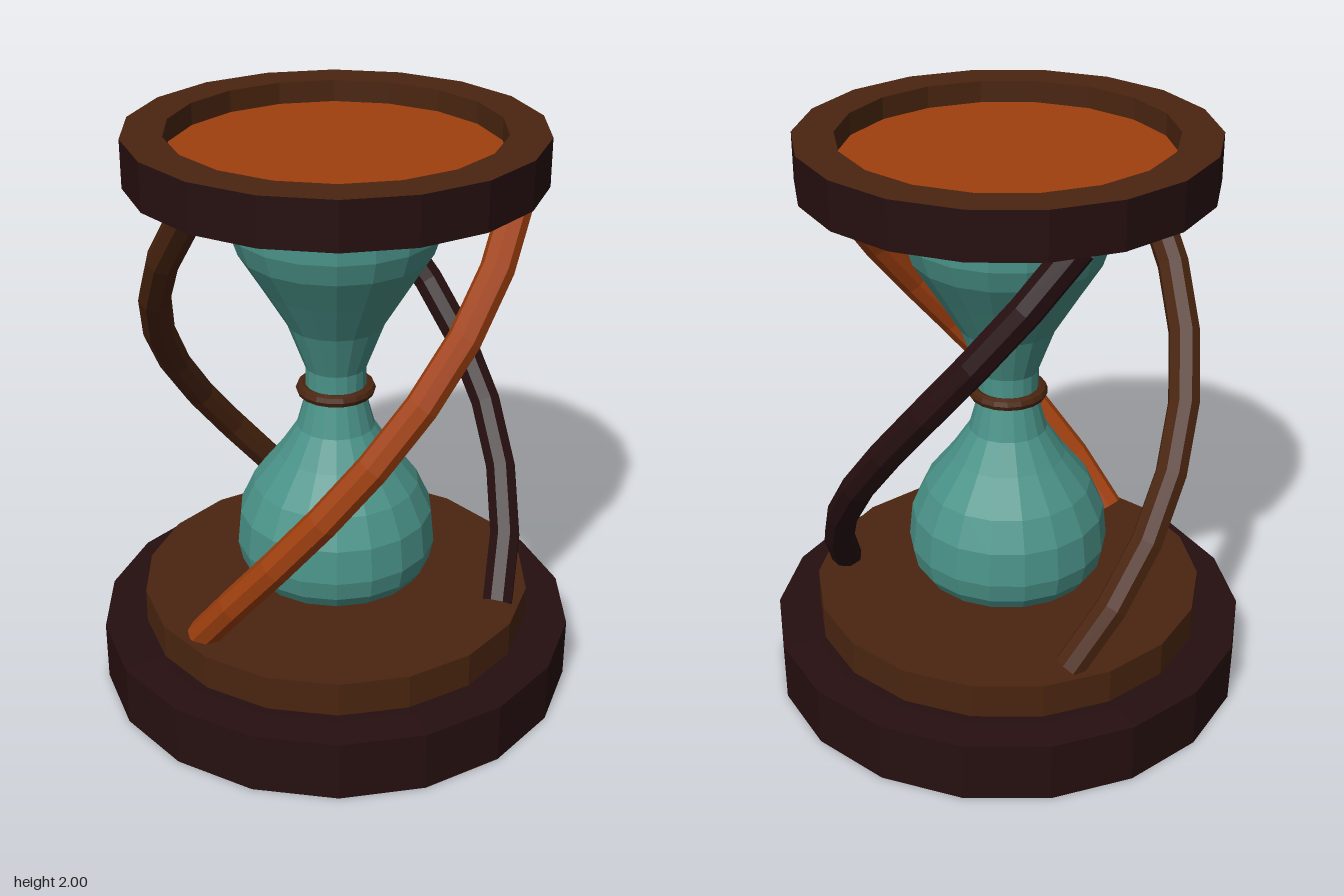
import * as THREE from 'three';

const SIDES = 18;

function mat(name, hex) {
  const m = new THREE.MeshStandardMaterial({ color: hex, flatShading: true, side: THREE.DoubleSide });
  m.name = name;
  return m;
}

export function createModel() {
  const group = new THREE.Group();
  const darkWood = mat('dark wood', 0x260f10);
  const brownWood = mat('brown wood', 0x4a2510);
  const orangeWood = mat('orange wood', 0xa0400f);
  const glassTeal = mat('teal glass', 0x4a9389);

  function add(name, geometry, material) {
    const mesh = new THREE.Mesh(geometry, material);
    mesh.name = name;
    group.add(mesh);
    return mesh;
  }
  // Turned part from [radius, height] pairs
  const lathe = (name, profile, material) =>
    add(name, new THREE.LatheGeometry(profile.map(([r, y]) => new THREE.Vector2(r, y)), SIDES), material);

  // Stepped base, hollow underneath
  lathe('baseShell', [[0.835, 0], [0.835, 0.215], [0.72, 0.22], [0.685, 0.22]], darkWood);
  lathe('basePlate', [[0.685, 0.215], [0.685, 0.343], [0, 0.343]], brownWood);

  // Top cap: dark drum, brown rim with recess, orange floor
  lathe('capDrum', [[0, 1.84], [0.685, 1.84], [0.685, 2]], darkWood);
  lathe('capRim', [[0.685, 2], [0.55, 2], [0.55, 1.925]], brownWood);
  lathe('capFloor', [[0.55, 1.925], [0, 1.925]], orangeWood);

  // Glass bulbs
  lathe('glass', [
    [0, 0.335], [0.185, 0.335], [0.25, 0.36], [0.305, 0.395], [0.335, 0.44], [0.35, 0.51],
    [0.338, 0.63], [0.29, 0.735], [0.2, 0.85], [0.135, 0.95], [0.105, 1.06], [0.105, 1.17],
    [0.165, 1.33], [0.25, 1.47], [0.325, 1.59], [0.35, 1.665], [0.35, 1.735], [0.322, 1.785],
    [0.265, 1.815], [0.18, 1.835], [0, 1.838],
  ], glassTeal);

  // Ring around the neck
  const ring = add('neckRing', new THREE.TorusGeometry(0.115, 0.022, 8, SIDES), brownWood);
  ring.rotation.x = Math.PI / 2;
  ring.position.y = 1.087;

  // Three twisted posts, each turning a third of a circle
  class Helix extends THREE.Curve {
    constructor(start) {
      super();
      this.start = start;
    }
    getPoint(t, target = new THREE.Vector3()) {
      const a = this.start + t * Math.PI * 2 / 3;
      return target.set(0.6 * Math.sin(a), 0.34 + 1.5 * t, 0.6 * Math.cos(a));
    }
  }
  [['orangePost', orangeWood], ['darkPost', darkWood], ['brownPost', brownWood]].forEach(([name, material], i) => {
    const start = -0.17 + i * Math.PI * 2 / 3;
    add(name, new THREE.TubeGeometry(new Helix(start), 8, 0.055, 8, false), material);
  });

  return group;
}
